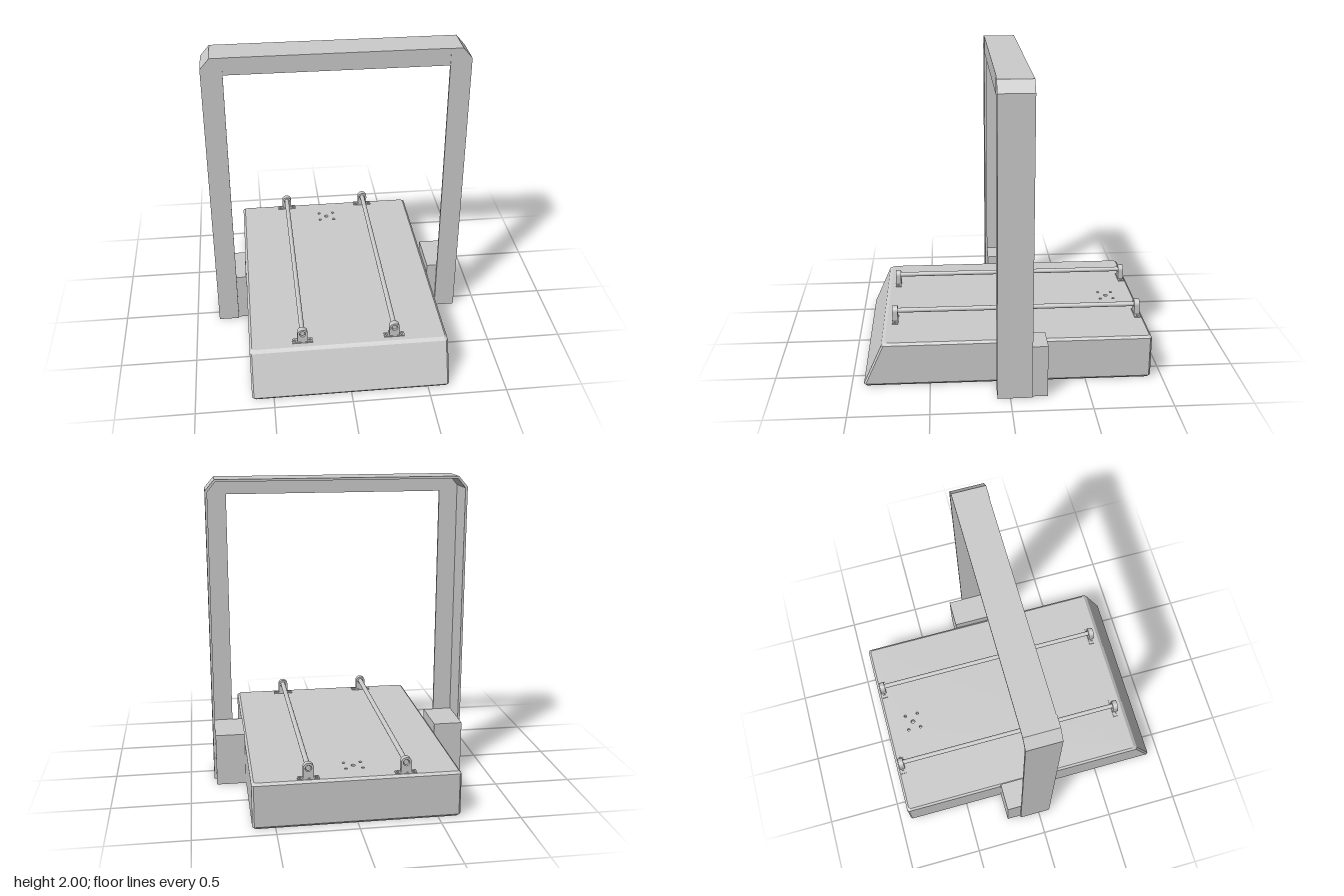
import * as THREE from 'three';

const grey = new THREE.MeshStandardMaterial({ color: 0xcccccc });
const greyDouble = new THREE.MeshStandardMaterial({ color: 0xcccccc, side: THREE.DoubleSide });

function add(parent, name, geometry, x = 0, y = 0, z = 0, material = grey) {
  const mesh = new THREE.Mesh(geometry, material);
  mesh.name = name;
  mesh.position.set(x, y, z);
  parent.add(mesh);
  return mesh;
}

const shapeOf = (pts) => new THREE.Shape(pts.map(([x, y]) => new THREE.Vector2(x, y)));
const extrude = (shape, depth) =>
  new THREE.ExtrudeGeometry(shape, { depth, bevelEnabled: false, curveSegments: 16 });

function punch(shape, x, y, r) {
  const hole = new THREE.Path();
  hole.absarc(x, y, r, 0, Math.PI * 2, true);
  shape.holes.push(hole);
}

// Rectangle with clipped corners, counter-clockwise in (x, -z)
function section(half, back, front, c = 0.012) {
  return [
    [half, -front + c], [half, -back - c], [half - c, -back], [-half + c, -back],
    [-half, -back - c], [-half, -front + c], [-half + c, -front], [half - c, -front],
  ];
}

// Flat-faced skin through stacked sections
function loft(levels) {
  const pos = [];
  for (let k = 0; k < levels.length - 1; k++) {
    const [y0, s0] = levels[k], [y1, s1] = levels[k + 1];
    for (let i = 0; i < s0.length; i++) {
      const j = (i + 1) % s0.length;
      const a = [s0[i][0], y0, -s0[i][1]], b = [s0[j][0], y0, -s0[j][1]];
      const c = [s1[j][0], y1, -s1[j][1]], d = [s1[i][0], y1, -s1[i][1]];
      pos.push(...a, ...b, ...c, ...a, ...c, ...d);
    }
  }
  const g = new THREE.BufferGeometry();
  g.setAttribute('position', new THREE.Float32BufferAttribute(pos, 3));
  g.computeVertexNormals();
  return g;
}

// Blind recess: tapered wall and flat floor
function recess(r, floorR, dy) {
  return new THREE.LatheGeometry([
    new THREE.Vector2(0, dy), new THREE.Vector2(floorR, dy),
    new THREE.Vector2(floorR, dy), new THREE.Vector2(r, 0),
  ], 24);
}

function buildBase() {
  const base = new THREE.Group();
  base.name = 'base';
  const bottom = section(0.628, -0.913, 0.913);
  const top = section(0.625, -0.91, 0.78);
  add(base, 'baseSides', loft([
    [0, bottom],
    [0.015, section(0.64, -0.925, 0.922)],
    [0.28, section(0.64, -0.925, 0.803)],
    [0.295, top],
  ]));

  // Top panel with a pattern of five small holes
  const topShape = shapeOf(top);
  for (const [x, z, r] of [[0, -0.73, 0.014], [-0.053, -0.775, 0.01], [0.053, -0.775, 0.01],
    [-0.053, -0.685, 0.01], [0.053, -0.685, 0.01]]) {
    punch(topShape, x, -z, r);
    add(base, 'panelHole', recess(r, r, -0.03), x, 0.295, z, greyDouble);
  }
  add(base, 'topPanel', new THREE.ShapeGeometry(topShape, 24).rotateX(-Math.PI / 2), 0, 0.295, 0);

  // Underside with a recess near each corner
  const underShape = shapeOf(bottom.map(([x, y]) => [x, -y]));
  for (const x of [-0.53, 0.53]) for (const z of [-0.8, 0.8]) {
    punch(underShape, x, z, 0.07);
    add(base, 'footRecess', recess(0.07, 0.045, 0.035), x, 0, z, greyDouble);
  }
  add(base, 'underside', new THREE.ShapeGeometry(underShape, 24).rotateX(Math.PI / 2));
  return base;
}

// Arch of thin angle section, open to the rear and inward
function buildFrame() {
  const frame = new THREE.Group();
  frame.name = 'frame';
  const t = 0.015, W = 0.845, H = 2, cx = 0.785, cy = 1.93, front = 0.08, back = -0.138;
  const k = t * 0.45;
  add(frame, 'frameRim', extrude(shapeOf([
    [-W, 0], [-W, cy], [-cx, H], [cx, H], [W, cy], [W, 0],
    [W - t, 0], [W - t, cy - k], [cx - k, H - t], [-cx + k, H - t], [-W + t, cy - k], [-W + t, 0],
  ]), front - t - back), 0, 0, back);
  for (const s of [-1, 1]) {
    add(frame, 'postFrontPlate', extrude(shapeOf([
      [s * 0.708, 0], [s * W, 0], [s * W, cy], [s * cx, H], [s * 0.708, H],
    ]), t), 0, 0, front - t);
    // Block filling the foot of each post
    add(frame, 'postBlock', new THREE.BoxGeometry(0.19, 0.345, 0.3), s * 0.735, 0.1725, -0.085);
  }
  add(frame, 'beamFrontPlate', new THREE.BoxGeometry(1.416, 0.115, t - 0.003),
    0, 1.9425, front - t / 2 - 0.0015);
  return frame;
}

// Lug with a rounded eye on a small screwed foot plate
function buildBracket() {
  const bracket = new THREE.Group();
  bracket.name = 'rodBracket';
  const eye = new THREE.Shape();
  eye.moveTo(-0.033, 0);
  eye.lineTo(0.033, 0);
  eye.lineTo(0.033, 0.07);
  eye.absarc(0, 0.07, 0.033, 0, Math.PI, false);
  eye.closePath();
  punch(eye, 0, 0.07, 0.02);
  add(bracket, 'eyeLug', extrude(eye, 0.036), 0, 0, -0.018);

  const foot = shapeOf([[-0.066, -0.02], [0.066, -0.02], [0.066, 0.02], [-0.066, 0.02]]);
  for (const x of [-0.05, 0.05]) punch(foot, x, 0, 0.009);
  add(bracket, 'footPlate', extrude(foot, 0.008).rotateX(-Math.PI / 2));
  return bracket;
}

function buildRail(x) {
  const rail = new THREE.Group();
  rail.name = 'rail';
  for (const z of [-0.885, 0.726]) {
    const bracket = buildBracket();
    bracket.position.set(x, 0.295, z);
    rail.add(bracket);
  }
  add(rail, 'rod', new THREE.CylinderGeometry(0.016, 0.016, 1.63, 24).rotateX(Math.PI / 2), x, 0.365, -0.0795);
  return rail;
}

export function createModel() {
  const model = new THREE.Group();
  model.name = 'archedPlatform';
  model.add(buildBase(), buildFrame(), buildRail(-0.298), buildRail(0.298));
  return model;
}
